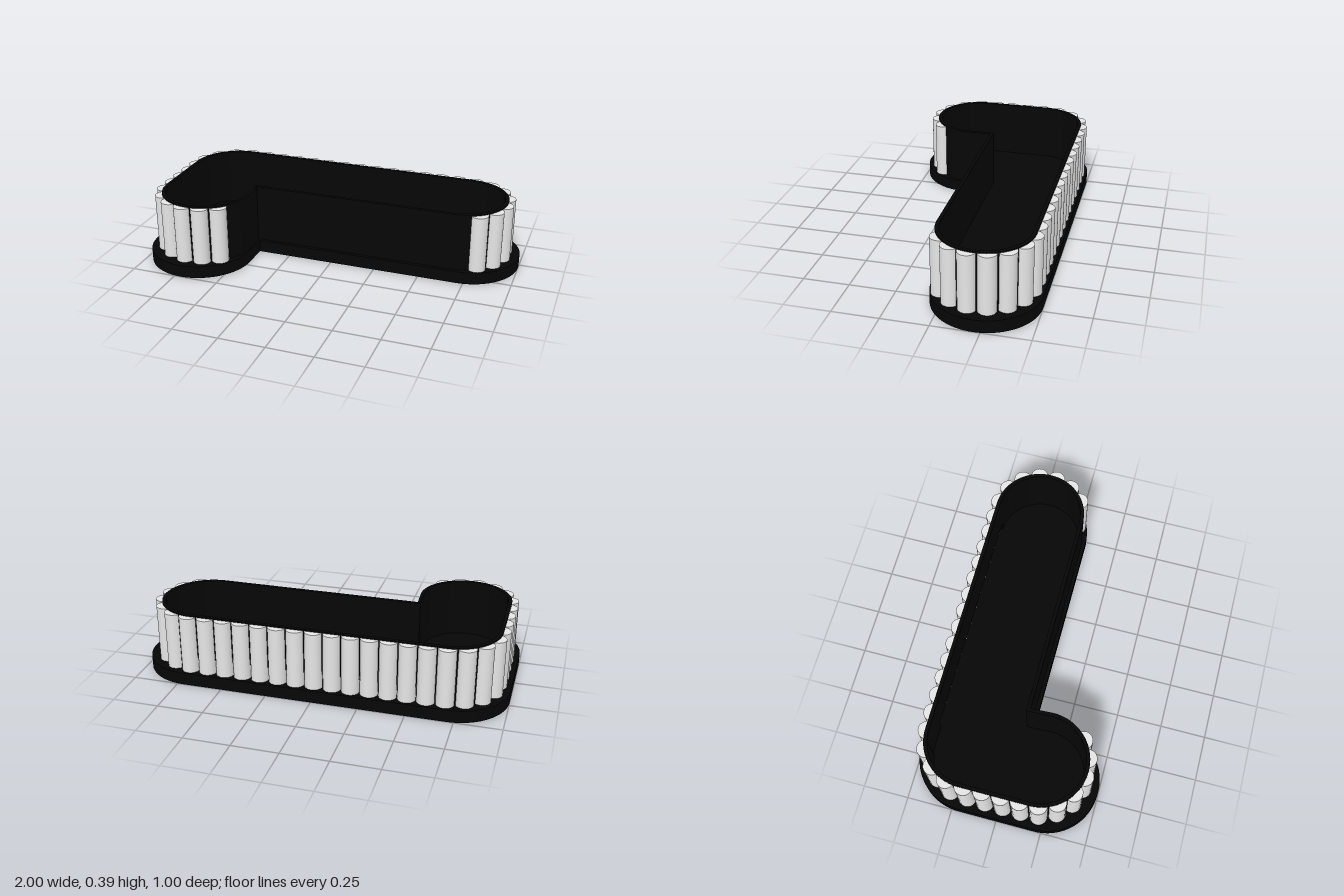
import * as THREE from 'three';
import { toCreasedNormals } from 'three/addons/utils/BufferGeometryUtils.js';

// Rounded L in (x, z), from the back edge round the arm end, inner corner, leg end and outer corner.
function outline({ r, leg, corner, arm, inner, from = 0, to = 0 }) {
  const p = new THREE.Path();
  p.moveTo(to, arm[1] - r);
  p.absarc(arm[0], arm[1], r, Math.PI * 1.5, Math.PI * 2.5, false);
  p.lineTo(inner[0], inner[1]);
  p.absarc(leg[0], leg[1], r, 0, Math.PI, false);
  p.absarc(corner[0], corner[1], r, Math.PI, Math.PI * 1.5, false);
  p.lineTo(from, corner[1] - r);
  return p.getPoints(32);
}

// Extrude a plan shape between two heights.
function slab(shape, bottom, top) {
  const g = new THREE.ExtrudeGeometry(shape, { depth: top - bottom, bevelEnabled: false });
  g.rotateX(Math.PI / 2);
  g.translate(0, top, 0);
  return toCreasedNormals(g, 0.5);
}

export function createModel() {
  const model = new THREE.Group();
  model.name = 'curvedCounter';

  const black = new THREE.MeshStandardMaterial({ color: 0x060606 });
  black.name = 'black';
  const white = new THREE.MeshStandardMaterial({ color: 0xe5e5e5, side: THREE.DoubleSide });
  white.name = 'offWhite';

  const add = (name, geometry, material, parent = model) => {
    const mesh = new THREE.Mesh(geometry, material);
    mesh.name = name;
    parent.add(mesh);
    return mesh;
  };

  // Plinth
  const base = outline({
    r: 0.285, leg: [-0.715, 0.213], corner: [-0.715, -0.215], arm: [0.715, -0.215], inner: [-0.43, 0.07],
  });
  add('base', slab(new THREE.Shape(base), 0, 0.068), black);

  // Thin wall around an open middle
  const leg = [-0.688, 0.174];
  const corner = [-0.688, -0.2];
  const arm = [0.672, -0.2];
  const outer = { r: 0.25, leg, corner, arm, inner: [-0.445, 0.05] };
  const hollow = { r: 0.23, leg, corner, arm, inner: [-0.463, 0.03] };
  const ring = new THREE.Shape(outline(outer));
  ring.holes.push(new THREE.Path(outline(hollow)));
  add('upperWall', slab(ring, 0.145, 0.391), black);

  // Foot of the wall, left open along the back behind the columns
  const gap = { from: -0.58, to: 0.45 };
  const foot = [...outline({ ...outer, ...gap }), ...outline({ ...hollow, ...gap }).reverse()];
  add('lowerWall', slab(new THREE.Shape(foot), 0.06, 0.145), black);

  // Row of half-round columns facing outward along the outer side
  const r = 0.24;
  const deg = Math.PI / 180;
  const row = new THREE.Path();
  row.absarc(leg[0], leg[1], r, 51 * deg, 180 * deg, false);
  row.absarc(corner[0], corner[1], r, 180 * deg, 270 * deg, false);
  row.absarc(arm[0], arm[1], r, 270 * deg, 416 * deg, false);

  const columns = new THREE.Group();
  columns.name = 'columns';
  model.add(columns);
  const columnGeometry = new THREE.CylinderGeometry(0.048, 0.048, 0.319, 16, 1, false, 0, Math.PI);
  const count = 33;
  for (let i = 0; i <= count; i++) {
    const p = row.getPointAt(i / count);
    const t = row.getTangentAt(i / count);
    const column = add('column', columnGeometry, white, columns);
    column.position.set(p.x, 0.2245, p.y);
    column.rotation.y = Math.atan2(t.x, t.y);
  }

  return model;
}
